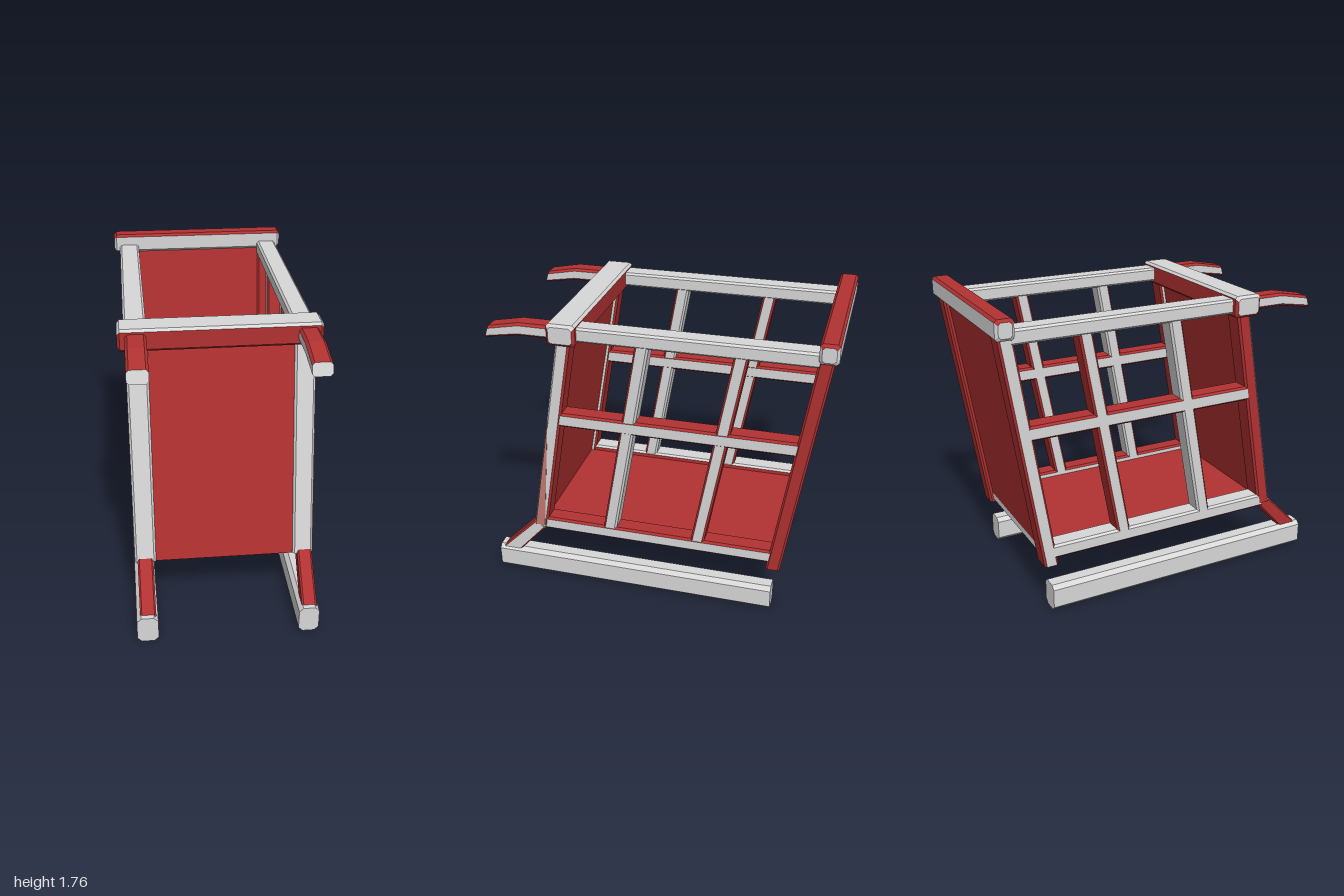
import * as THREE from 'three';

const GREY = 0, RED = 1, PINK = 2;

// Loft through four-cornered stations with bevelled edges.
// sides = colours of the sides 0-1, 1-2, 2-3, 3-0; cap = colour of the ends.
function loft(name, stations, sides, cap, bevel, materials) {
  const buckets = materials.map(() => []);
  const rings = stations.map((corners) => {
    const ring = [];
    corners.forEach((p, k) => {
      for (const q of [corners[(k + 3) % 4], corners[(k + 1) % 4]]) {
        const d = q.clone().sub(p).normalize();
        ring.push(p.clone().addScaledVector(d, bevel));
      }
    });
    return ring;
  });
  const mid = (list) => list.reduce((s, p) => s.add(p), new THREE.Vector3()).divideScalar(list.length);
  const tri = (a, b, c, inside, colour) => {
    const n = b.clone().sub(a).cross(c.clone().sub(a));
    const out = n.dot(mid([a, b, c]).sub(inside)) >= 0;
    for (const p of out ? [a, b, c] : [a, c, b]) buckets[colour].push(p.x, p.y, p.z);
  };
  for (let i = 0; i + 1 < rings.length; i++) {
    const r = rings[i], s = rings[i + 1], inside = mid([...r, ...s]);
    for (let j = 0; j < 8; j++) {
      const k = j >> 1, n = (j + 1) % 8;
      // edge bevels follow the first or third side
      const colour = j % 2 ? sides[k] : sides[k < 2 ? 0 : 2];
      tri(r[j], r[n], s[n], inside, colour);
      tri(r[j], s[n], s[j], inside, colour);
    }
  }
  const inside = mid(rings.flat());
  for (const r of [rings[0], rings[rings.length - 1]]) {
    for (let j = 1; j < 7; j++) tri(r[0], r[j], r[j + 1], inside, cap);
  }
  const geo = new THREE.BufferGeometry();
  geo.setAttribute('position', new THREE.Float32BufferAttribute(buckets.flat(), 3));
  let start = 0;
  buckets.forEach((b, m) => {
    if (b.length) geo.addGroup(start, b.length / 3, m);
    start += b.length / 3;
  });
  geo.computeVertexNormals();
  const mesh = new THREE.Mesh(geo, materials);
  mesh.name = name;
  return mesh;
}

export function createModel() {
  const group = new THREE.Group();
  const material = (name, color) => {
    const m = new THREE.MeshStandardMaterial({ color });
    m.name = name;
    return m;
  };
  const materials = [
    material('lightGrey', 0xd8d8d8),
    material('red', 0xb23131),
    material('fadedRed', 0xc47872),
  ];

  // Bar in a side plane: each station is [zA, yA, zB, yB], A = front/top edge, B = back/bottom edge.
  // sides = colours of A, +x, B, -x.
  const bar = (name, x0, x1, list, sides, cap = GREY, bevel = 0.012) => {
    const V = (x, z, y) => new THREE.Vector3(x, y, z);
    const st = list.map(([za, ya, zb, yb]) => [V(x0, za, ya), V(x1, za, ya), V(x1, zb, yb), V(x0, zb, yb)]);
    group.add(loft(name, st, sides, cap, bevel, materials));
  };

  // Bar across the width with bevelled ends; sides = colours of top, front, bottom, back.
  const crossbar = (name, y0, y1, z0, z1, sides) => {
    const st = [[-0.545, 0.015], [-0.53, 0], [0.53, 0], [0.545, 0.015]].map(([x, d]) =>
      [[y1 - d, z0 + d], [y1 - d, z1 - d], [y0 + d, z1 - d], [y0 + d, z0 + d]]
        .map(([y, z]) => new THREE.Vector3(x, y, z)));
    group.add(loft(name, st, sides, GREY, 0.014, materials));
  };

  for (const left of [true, false]) {
    const side = left ? 'left' : 'right';
    const x0 = left ? 0.4 : -0.505, x1 = left ? 0.515 : -0.385;
    const r0 = left ? 0.405 : -0.51, r1 = left ? 0.52 : -0.39;
    const outer = left ? GREY : RED;

    // Runner, its strut and the push handle
    bar(side + 'Runner', r0, r1, [[1, 0.16, 1, 0], [-0.72, 0.16, -0.72, 0]], [GREY, GREY, GREY, GREY], GREY, 0.024);
    bar(side + 'Strut', r0 + 0.02, r1 - 0.01, [[0.98, 0.15, 0.86, 0.15], [0.75, 0.385, 0.69, 0.335]],
      [RED, outer, RED, RED], GREY, 0.01);
    bar(side + 'Handle', r0 + 0.005, r1 - 0.002,
      [[0.56, 1.69, 0.56, 1.615], [0.75, 1.69, 0.76, 1.615], [0.93, 1.655, 0.95, 1.585]],
      [RED, GREY, RED, GREY], GREY, 0.014);

    // Leaning corner posts
    bar(side + 'FrontPost', x0, x1, [[0.755, 0.36, 0.672, 0.36], [0.535, 1.62, 0.452, 1.62]],
      [GREY, GREY, RED, outer], RED);
    bar(side + 'RearPost', x0, x1, [[-0.68, 0.295, -0.763, 0.295], [-0.892, 1.67, -0.977, 1.67]],
      [RED, RED, RED, left ? RED : GREY], RED);

    // Side lattice: rails, then leaning slats
    bar(side + 'TopRail', x0 - 0.005, x1 - 0.003, [[0.44, 1.695, 0.44, 1.61], [-0.9, 1.695, -0.9, 1.61]],
      [GREY, GREY, GREY, GREY]);
    bar(side + 'MiddleRail', x0, x1 - 0.005, [[0.56, 1.155, 0.56, 1.07], [-0.82, 1.155, -0.82, 1.07]],
      [RED, GREY, RED, GREY]);
    bar(side + 'BottomRail', x0, x1 - 0.005, [[0.7, 0.42, 0.7, 0.338], [-0.72, 0.42, -0.72, 0.338]],
      [left ? RED : GREY, outer, RED, GREY]);
    [[0.312, 0.088], [-0.225, -0.452]].forEach(([zb, zt], i) => {
      bar(side + 'Slat' + (i + 1), x0, x1 - 0.007, [[zb, 0.4, zb - 0.08, 0.4], [zt, 1.64, zt - 0.08, 1.64]],
        [RED, GREY, i ? RED : GREY, GREY]);
    });
  }

  // Top crossbars
  crossbar('frontCrossbar', 1.59, 1.715, 0.415, 0.58, [GREY, RED, RED, RED]);
  crossbar('rearCrossbar', 1.648, 1.762, -0.995, -0.89, [RED, GREY, GREY, GREY]);

  // Leaning end panels, floor and rear sill
  const red = [RED, RED, RED, RED];
  bar('frontPanel', -0.4, 0.41, [[0.742, 0.36, 0.7, 0.36], [0.522, 1.62, 0.48, 1.62]], red, RED, 0.004);
  bar('rearPanel', -0.4, 0.41, [[-0.705, 0.36, -0.745, 0.36], [-0.91, 1.67, -0.95, 1.67]], red, RED, 0.004);
  bar('floor', -0.4, 0.41, [[0.72, 0.385, 0.72, 0.35], [-0.71, 0.385, -0.71, 0.35]], red, RED, 0.004);
  bar('rearSill', -0.4, 0.41, [[-0.7, 0.362, -0.7, 0.322], [-0.745, 0.362, -0.745, 0.322]],
    [GREY, GREY, GREY, GREY], GREY, 0.004);

  // Faded wedge on the left front post
  const wedge = new THREE.Shape([[-0.618, 1.1], [-0.745, 0.365], [-0.685, 0.365]]
    .map(([a, b]) => new THREE.Vector2(a, b)));
  const plate = new THREE.Mesh(new THREE.ExtrudeGeometry(wedge, { depth: 0.003, bevelEnabled: false }), materials[PINK]);
  plate.rotation.y = Math.PI / 2;
  plate.position.x = 0.514;
  plate.name = 'frontPostWedge';
  group.add(plate);

  return group;
}
